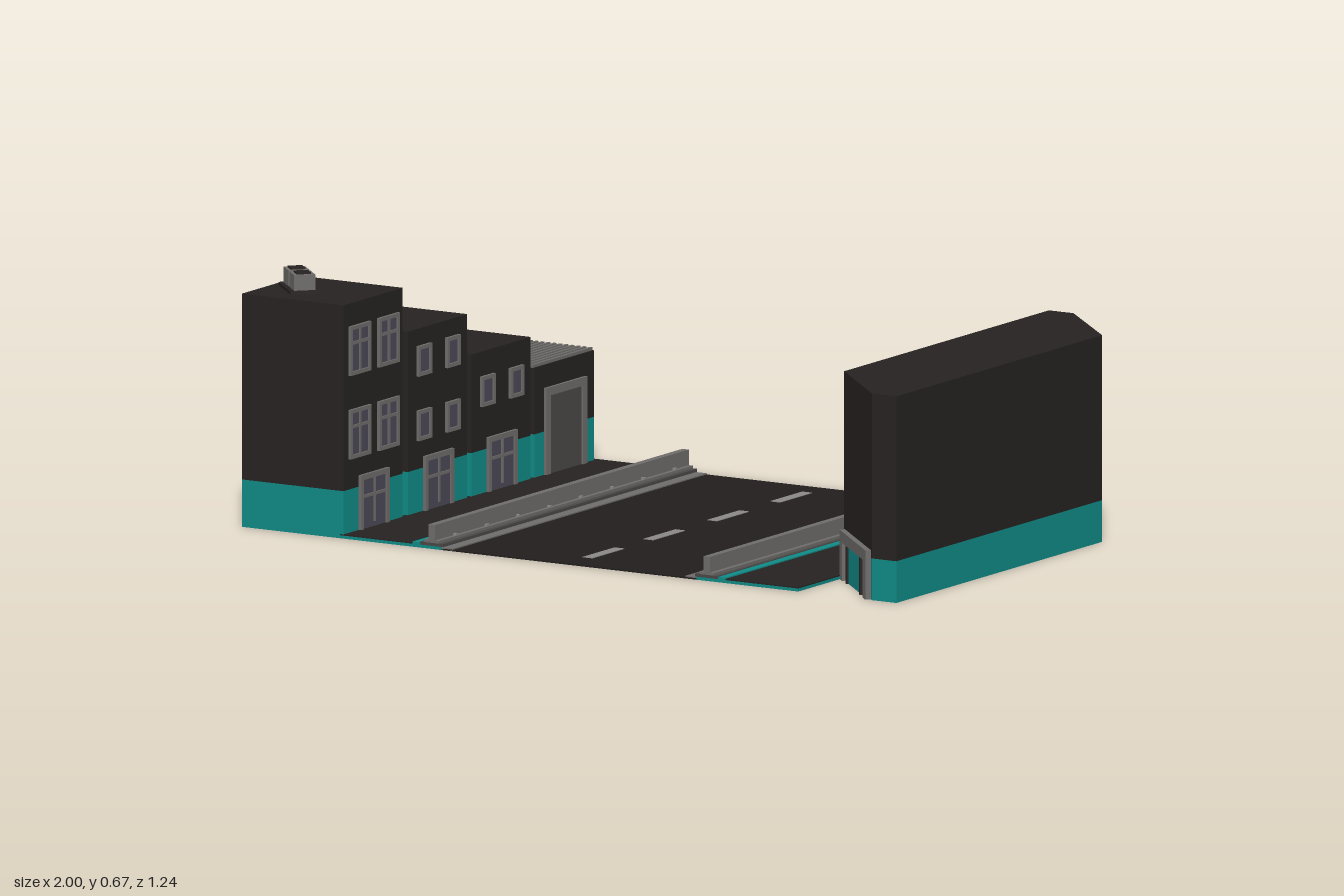
import * as THREE from 'three';

const paint = (color, side = THREE.FrontSide) => new THREE.MeshStandardMaterial({ color, side });
const DARK = paint(0x262221), TEAL = paint(0x108a86), GREY = paint(0x6e6c6a), MID = paint(0x4a4747),
  LIGHT = paint(0x8a8886), GLASS = paint(0x4b4956), ASPHALT = paint(0x211e1d);

function add(parent, name, geometry, material, x = 0, y = 0, z = 0) {
  const mesh = new THREE.Mesh(geometry, material);
  mesh.name = name;
  mesh.position.set(x, y, z);
  parent.add(mesh);
  return mesh;
}

// Box given by its lower and upper limits
function block(parent, name, material, x0, x1, y0, y1, z0, z1) {
  return add(parent, name, new THREE.BoxGeometry(x1 - x0, y1 - y0, z1 - z0), material,
    (x0 + x1) / 2, (y0 + y1) / 2, (z0 + z1) / 2);
}

function group(parent, name, x, y, z, turn = 0) {
  const g = new THREE.Group();
  g.name = name;
  g.position.set(x, y, z);
  g.rotation.y = turn;
  parent.add(g);
  return g;
}

// Framed opening whose foot is at y = 0 and which faces local +z
function opening(parent, name, [x, y, z], turn, w, h, o = {}) {
  const { rim = 0.01, depth = 0.008, pane = GLASS, frame = GREY, bars = 0, crossbar = 0, sill = true } = o;
  const g = group(parent, name, x, y, z, turn);
  block(g, 'pane', pane, -w / 2 + rim, w / 2 - rim, sill ? rim : 0, h - rim, 0, depth * 0.4);
  for (const s of [-1, 1]) {
    const c = s * (w - rim) / 2;
    block(g, 'jamb', frame, c - rim / 2, c + rim / 2, 0, h, 0, depth);
  }
  block(g, 'lintel', frame, -w / 2 + rim, w / 2 - rim, h - rim, h, 0, depth);
  if (sill) block(g, 'sill', frame, -w / 2 + rim, w / 2 - rim, 0, rim, 0, depth);
  for (let i = 1; i <= bars; i++) {
    const c = -w / 2 + (w * i) / (bars + 1);
    block(g, 'mullion', frame, c - 0.004, c + 0.004, rim, h - rim, 0, depth * 0.8);
  }
  if (crossbar) block(g, 'crossbar', frame, -w / 2 + rim, w / 2 - rim, h * crossbar - 0.004, h * crossbar + 0.004, 0, depth * 0.8);
  return g;
}

// Vertical prism over an outline of [x, z] points
function prism(parent, name, outline, y0, y1, material) {
  const shape = new THREE.Shape(outline.map(([x, z]) => new THREE.Vector2(x, -z)));
  const geo = new THREE.ExtrudeGeometry(shape, { depth: y1 - y0, bevelEnabled: false }).rotateX(-Math.PI / 2);
  return add(parent, name, geo, material, 0, y0, 0);
}

function buildStreet(root) {
  const street = group(root, 'street', 0, 0, 0);
  block(street, 'road', ASPHALT, -0.39, 0.39, 0, 0.004, -0.625, 0.615);
  for (const z of [-0.47, -0.162, 0.15, 0.447])
    block(street, 'laneDash', LIGHT, -0.015, 0.015, -0.0005, 0.0055, z - 0.078, z + 0.078);
  for (const s of [-1, 1]) {
    const side = group(street, s < 0 ? 'rightSidewalk' : 'leftSidewalk', 0, 0, 0);
    const strip = (name, mat, a, b, y0, y1) =>
      block(side, name, mat, Math.min(s * a, s * b), Math.max(s * a, s * b), y0, y1, -0.625, 0.615);
    strip('slab', TEAL, 0.39, 0.7, 0, 0.008);
    strip('paving', DARK, 0.478, 0.7, 0.008, 0.011);
    strip('curb', TEAL, 0.455, 0.478, 0.008, 0.014);
    // Long low barrier with a stepped foot
    strip('gutter', GREY, 0.355, 0.39, 0, 0.007);
    strip('barrierFoot', MID, 0.385, 0.455, 0.008, 0.016);
    strip('barrierStep', GREY, 0.398, 0.443, 0.016, 0.023);
    strip('barrierWall', GREY, 0.41, 0.43, 0.02, 0.064);
    for (let i = 0; i < 8; i++)
      block(side, 'reflector', LIGHT, s * 0.403 - 0.004, s * 0.403 + 0.004, 0.023, 0.029, -0.55 + i * 0.153, -0.54 + i * 0.153);
  }
}

function buildRow(root) {
  const row = group(root, 'houseRow', 0, 0, 0);
  const X = -0.69, TURN = Math.PI / 2;
  const houses = [[0.325, 0.615, 0.615], [0.01, 0.3, 0.495], [-0.3, -0.01, 0.385], [-0.61, -0.318, 0.3]];
  houses.forEach(([z0, z1, h], i) => {
    const house = group(row, 'house' + (i + 1), 0, 0, 0);
    const mid = (z0 + z1) / 2;
    block(house, 'plinth', TEAL, -1, X, 0, 0.125, z0, z1);
    block(house, 'walls', DARK, -1, X, 0.125, h, z0, z1);
    if (i === 3) {
      opening(house, 'garageDoor', [X, 0, mid], TURN, 0.2, 0.24, { rim: 0.022, pane: MID, sill: false });
      return;
    }
    opening(house, 'door', [X, 0.01, mid], TURN, 0.14, 0.145,
      { rim: 0.014, bars: 1, crossbar: 0.6, frame: GREY, sill: false });
    const rows = [[0.425, 0.205], [0.37, 0.2], [0.24]][i];
    for (const y of rows) for (const s of [-1, 1]) {
      const big = i === 0;
      opening(house, 'window', [X, y, mid + s * 0.07], TURN, big ? 0.1 : 0.065, big ? 0.13 : 0.08,
        { bars: big ? 1 : 0, crossbar: big ? 0.65 : 0 });
    }
  });

  // Cooling unit turned on the tallest roof
  const cooler = group(row, 'coolingUnit', -0.89, 0.615, 0.51, -Math.PI / 4);
  block(cooler, 'tray', DARK, -0.07, 0.07, 0.006, 0.014, -0.04, 0.04);
  for (const s of [-1, 1]) {
    block(cooler, 'cabinet', GREY, s * 0.034 - 0.028, s * 0.034 + 0.028, 0.014, 0.055, -0.028, 0.028);
    block(cooler, 'grille', DARK, s * 0.034 - 0.019, s * 0.034 + 0.019, 0.055, 0.059, -0.019, 0.019);
  }

  // Roof fan with crossed guard bars
  const fan = group(row, 'roofFan', -0.922, 0.495, 0.226);
  block(fan, 'housing', GREY, -0.072, 0.072, 0, 0.03, -0.072, 0.072);
  add(fan, 'rotor', new THREE.CylinderGeometry(0.052, 0.052, 0.006, 20), GLASS, 0, 0.032, 0);
  add(fan, 'ring', new THREE.TorusGeometry(0.057, 0.006, 6, 20).rotateX(Math.PI / 2), MID, 0, 0.033, 0);
  add(fan, 'hub', new THREE.CylinderGeometry(0.015, 0.015, 0.01, 12), MID, 0, 0.035, 0);
  for (const s of [-1, 1])
    add(fan, 'guardBar', new THREE.BoxGeometry(0.16, 0.005, 0.012), DARK, 0, 0.041, 0).rotation.y = s * Math.PI / 4;

  // Sloped skylight
  const wedge = new THREE.Shape([[-0.975, 0], [-0.845, 0], [-0.845, 0.012], [-0.975, 0.06]].map(p => new THREE.Vector2(...p)));
  add(row, 'skylight', new THREE.ExtrudeGeometry(wedge, { depth: 0.132, bevelEnabled: false }), GLASS, 0, 0.385, -0.145);

  // Corrugated garage roof
  for (let i = 0; i < 17; i++) {
    const x = -0.992 + i * 0.0183;
    block(row, 'roofRib', GREY, x - 0.0045, x + 0.0045, 0.3, 0.308, -0.61, -0.318);
  }
}

function buildLongHall(root) {
  const hall = group(root, 'longHall', 0, 0, 0);
  const outline = [[0.7, 0.39], [0.925, 0.615], [1, 0.615], [1, -0.39], [0.775, -0.61], [0.7, -0.61]];
  prism(hall, 'plinth', outline, 0, 0.11, TEAL);
  prism(hall, 'walls', outline, 0.11, 0.545, DARK);

  // Street side: square windows above portholes
  for (let i = 0; i < 6; i++) {
    const z = -0.51 + i * 0.154;
    opening(hall, 'window', [0.7, 0.315, z], -Math.PI / 2, 0.065, 0.085);
    const hole = group(hall, 'porthole', 0.7, 0.2, z, -Math.PI / 2);
    add(hole, 'pane', new THREE.CylinderGeometry(0.03, 0.03, 0.004, 20).rotateX(Math.PI / 2), GLASS, 0, 0, 0.001);
    add(hole, 'rim', new THREE.TorusGeometry(0.031, 0.005, 6, 20), GREY);
  }
  // Blank sign panels
  for (const z of [-0.465, -0.285, -0.1])
    block(hall, 'signPanel', GREY, 0.688, 0.7, 0.44, 0.5, z - 0.07, z + 0.07);

  // Entrance on the cut corner
  const entry = group(hall, 'entrance', 0.8125, 0, 0.5025, -Math.PI / 4);
  opening(entry, 'porch', [0, 0, 0], 0, 0.3, 0.13, { rim: 0.03, depth: 0.015, pane: MID, sill: false });
  opening(entry, 'door', [0, 0, 0.004], 0, 0.17, 0.115, { rim: 0.012, depth: 0.01, pane: TEAL, frame: DARK, sill: false });
}

export function createModel() {
  const root = new THREE.Group();
  root.name = 'streetBlock';
  buildStreet(root);
  buildRow(root);
  buildLongHall(root);
  return root;
}
